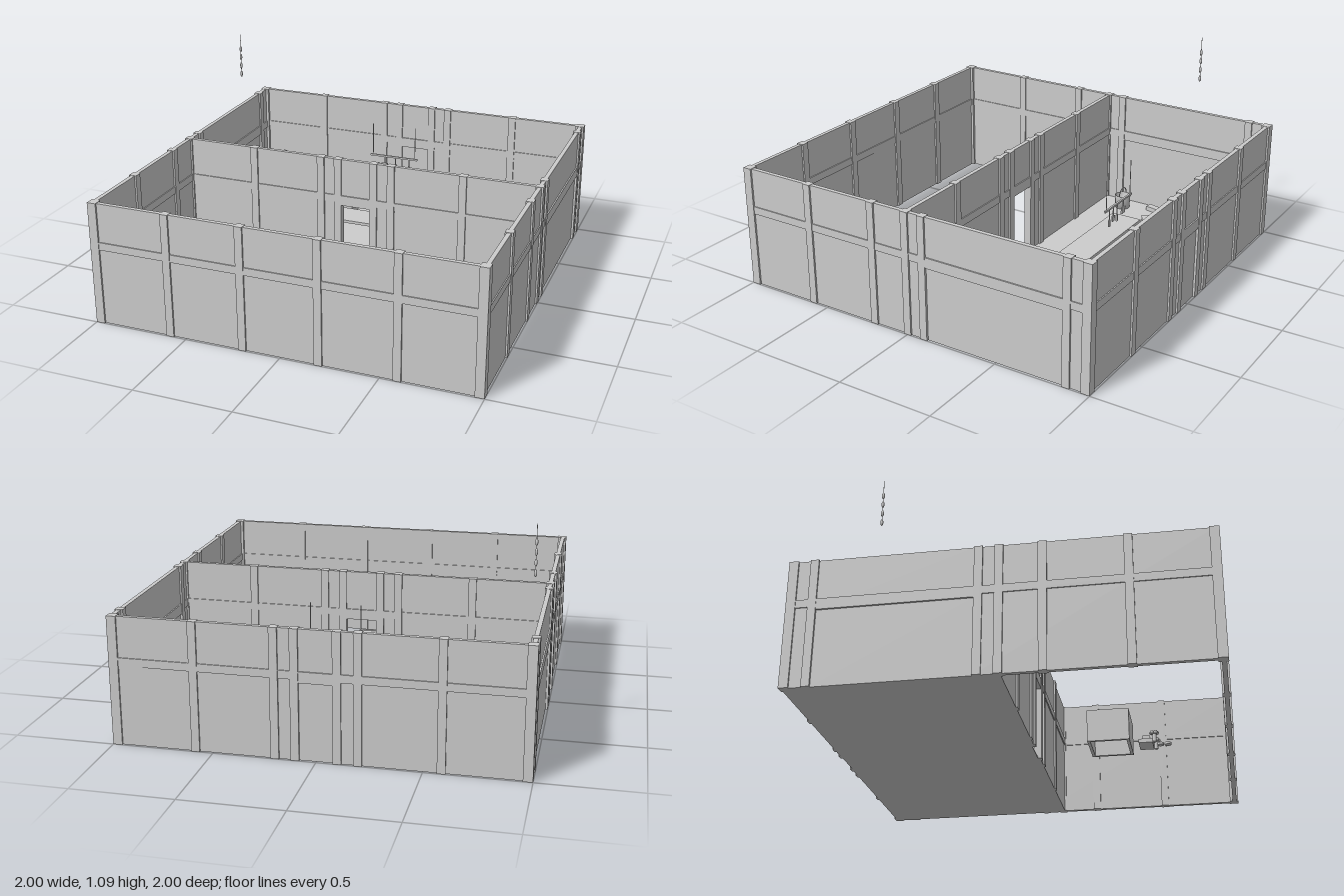
import * as THREE from 'three';

const stone = new THREE.MeshStandardMaterial({ color: 0xcccccc });
stone.name = 'paleGrey';

const HEIGHT = 0.645, EDGE = 0.98;

export function createModel() {
  const model = new THREE.Group();

  const section = (name) => {
    const g = new THREE.Group();
    g.name = name;
    model.add(g);
    return g;
  };
  const put = (parent, name, geometry, x, y, z) => {
    const mesh = new THREE.Mesh(geometry, stone);
    mesh.name = name;
    mesh.position.set(x, y, z);
    parent.add(mesh);
    return mesh;
  };
  // Box given by its centre in plan and its bottom height
  const box = (parent, name, w, h, d, x, y, z) =>
    put(parent, name, new THREE.BoxGeometry(w, h, d), x, y + h / 2, z);
  const ball = (parent, name, r, x, y, z) =>
    put(parent, name, new THREE.SphereGeometry(r, 16, 10), x, y, z);
  const rod = (parent, name, r, h, x, y, z) =>
    put(parent, name, new THREE.CylinderGeometry(r, r, h, 10), x, y + h / 2, z);
  // Open or closed vessel turned from [radius, height] pairs
  const lathe = (parent, name, points, x, y, z) => {
    const g = new THREE.LatheGeometry(points.map(p => new THREE.Vector2(...p)), 24);
    return put(parent, name, g, x, y, z);
  };

  // A wall runs along its local x axis; a door is { from, to, open }
  const wall = (name, posts, door) => {
    const g = section(name);
    const spans = door ? [[-EDGE, door.from], [door.to, EDGE]] : [[-EDGE, EDGE]];
    for (const [a, b] of spans) {
      const mid = (a + b) / 2, w = b - a;
      box(g, 'wallPanel', w, HEIGHT - 0.002, 0.022, mid, 0, 0);
      box(g, 'wallBeam', w, 0.04, 0.033, mid, 0.4, 0);
    }
    if (door) {
      const mid = (door.from + door.to) / 2, w = door.to - door.from;
      box(g, 'panelOverDoor', w, HEIGHT - 0.387, 0.022, mid, 0.385, 0);
      box(g, 'lintel', w, 0.055, 0.036, mid, 0.385, 0);
      if (!door.open) box(g, 'doorPanel', w, 0.385, 0.016, mid, 0, 0);
    }
    for (const x of posts) box(g, 'wallPost', 0.04, HEIGHT, 0.04, x, 0, 0);
    return g;
  };

  // Outer walls, dividing wall and corner posts
  const evenPosts = [-0.585, -0.197, 0.195, 0.585];
  const doorPosts = [-0.585, -0.197, -0.1, 0.1, 0.197, 0.585];
  wall('frontWall', evenPosts).position.z = EDGE;
  wall('backWall', doorPosts, { from: -0.1, to: 0.1 }).position.z = -EDGE;
  wall('dividingWall', doorPosts, { from: -0.08, to: 0.08, open: true });
  for (const s of [-1, 1]) {
    const side = wall(s > 0 ? 'leftWall' : 'rightWall',
      [-0.59, -0.2, 0, 0.095, 0.875], { from: 0.115, to: 0.855 });
    side.rotation.y = Math.PI / 2;
    side.position.x = s * EDGE;
    for (const z of [-1, 1]) box(model, 'cornerPost', 0.046, HEIGHT, 0.046, s * 0.977, 0, z * 0.977);
  }

  // Floor of the back room
  box(model, 'floor', 1.96, 0.006, 0.98, 0, 0, -0.49);

  // Long table
  const table = section('longTable');
  box(table, 'tableTop', 0.76, 0.016, 0.17, -0.1, 0.134, -0.395);
  for (const x of [-0.46, 0.26]) for (const z of [-0.46, -0.33])
    box(table, 'tableLeg', 0.025, 0.134, 0.025, x, 0, z);

  // Pair of stoves with pots
  const stoves = section('stoves');
  for (const x of [-0.592, -0.398]) {
    box(stoves, 'stove', 0.19, 0.14, 0.165, x, 0, -0.785);
    for (const dx of [-0.042, 0.042]) {
      lathe(stoves, 'pot', [[0, 0], [0.028, 0], [0.034, 0.015], [0.03, 0.03],
        [0.02, 0.036], [0.008, 0.04], [0.008, 0.047], [0, 0.048]], x + dx, 0.14, -0.785);
    }
  }

  // Raised barrel
  const keg = section('raisedBarrel');
  const barrel = lathe(keg, 'barrel', [[0, -0.065], [0.036, -0.065], [0.041, 0], [0.036, 0.065], [0, 0.065]],
    -0.82, 0.25, -0.835);
  barrel.rotation.x = Math.PI / 2;
  for (const z of [-0.875, -0.795]) box(keg, 'barrelStand', 0.06, 0.22, 0.014, -0.82, 0, z);

  // Hanging rack with utensils
  const rack = section('utensilRack');
  box(rack, 'rackRail', 0.28, 0.01, 0.01, 0, 0.452, -0.59);
  for (const x of [-0.125, 0.125]) rod(rack, 'rackRod', 0.002, 0.185, x, 0.46, -0.59);
  for (const [x, len, w, h] of [[-0.055, 0.04, 0.035, 0.035], [0.01, 0.06, 0.012, 0.035],
    [0.05, 0.05, 0.022, 0.03], [0.09, 0.06, 0.014, 0.035]]) {
    rod(rack, 'utensilHandle', 0.003, len, x, 0.455 - len, -0.59);
    box(rack, 'utensilHead', w, h, 0.007, x, 0.455 - len - h, -0.59);
  }

  // Hanging string of bulbs
  const string = section('hangingString');
  rod(string, 'cord', 0.0015, 0.25, -0.943, 0.835, -0.58);
  for (const y of [0.852, 0.902, 0.952, 1.0])
    ball(string, 'bulb', 0.007, -0.943, y, -0.58).scale.y = 2.6;

  // Jars in two clusters
  const jars = section('jars');
  for (const [x, z, r] of [[0.39, -0.795, 0.03], [0.38, -0.75, 0.036], [0.425, -0.755, 0.022],
    [0.592, -0.742, 0.032], [0.615, -0.765, 0.03]]) {
    lathe(jars, 'jar', [[0, 0], [0.7, 0], [1, 0.9], [0.9, 1.6], [0.5, 2], [0.62, 2.3],
      [0.5, 2.3], [0.42, 2], [0, 1.9]].map(p => p.map(v => v * r)), x, 0.006, z);
  }

  // Open tub and bucket
  const tub = (parent, name, r, h, x, z) => lathe(parent, name,
    [[0, 0], [r * 0.92, 0], [r, h], [r - 0.006, h], [r * 0.85, 0.01], [0, 0.01]], x, 0.006, z);
  tub(model, 'openTub', 0.075, 0.14, 0.78, -0.785);
  const bucket = section('bucket');
  tub(bucket, 'bucketBody', 0.045, 0.075, -0.87, -0.165);
  put(bucket, 'bucketHandle', new THREE.TorusGeometry(0.043, 0.003, 8, 20, Math.PI), -0.87, 0.08, -0.165);

  // Loose blocks on the floor
  const blocks = section('looseBlocks');
  for (const [x, z, turn] of [[-0.92, -0.65, -0.1], [-0.915, -0.505, 0.15], [-0.91, -0.35, -0.2],
    [-0.745, -0.38, -1.05], [-0.53, -0.595, 1.2]])
    box(blocks, 'block', 0.04, 0.025, 0.08, x, 0.006, z).rotation.y = turn;
  box(blocks, 'smallBlock', 0.035, 0.015, 0.02, -0.92, 0.031, -0.49);

  // Hollow pedestal, open underneath
  const pedestal = section('pedestal');
  for (const s of [-1, 1]) {
    box(pedestal, 'pedestalSide', 0.015, 0.165, 0.21, s * 0.1075, 0, 0.385);
    box(pedestal, 'pedestalEnd', 0.2, 0.165, 0.015, 0, 0, 0.385 + s * 0.0975);
  }
  box(pedestal, 'pedestalTop', 0.2, 0.012, 0.18, 0, 0.148, 0.385);

  // Small offering stand with flowers
  const stand = section('offeringStand');
  box(stand, 'standBase', 0.105, 0.02, 0.07, 0, 0, 0.565);
  box(stand, 'standBlock', 0.06, 0.025, 0.036, 0, 0.02, 0.567);
  for (const s of [-1, 1]) {
    rod(stand, 'vase', 0.01, 0.04, s * 0.052, 0, 0.61);
    for (let i = 0; i < 5; i++) {
      const a = i * Math.PI * 0.4;
      ball(stand, 'flower', 0.01, s * 0.052 + 0.015 * Math.cos(a), 0.048, 0.608 + 0.015 * Math.sin(a));
    }
  }
  for (const z of [0.636, 0.672]) rod(stand, 'dish', 0.017, 0.012, 0, 0, z);

  return model;
}
